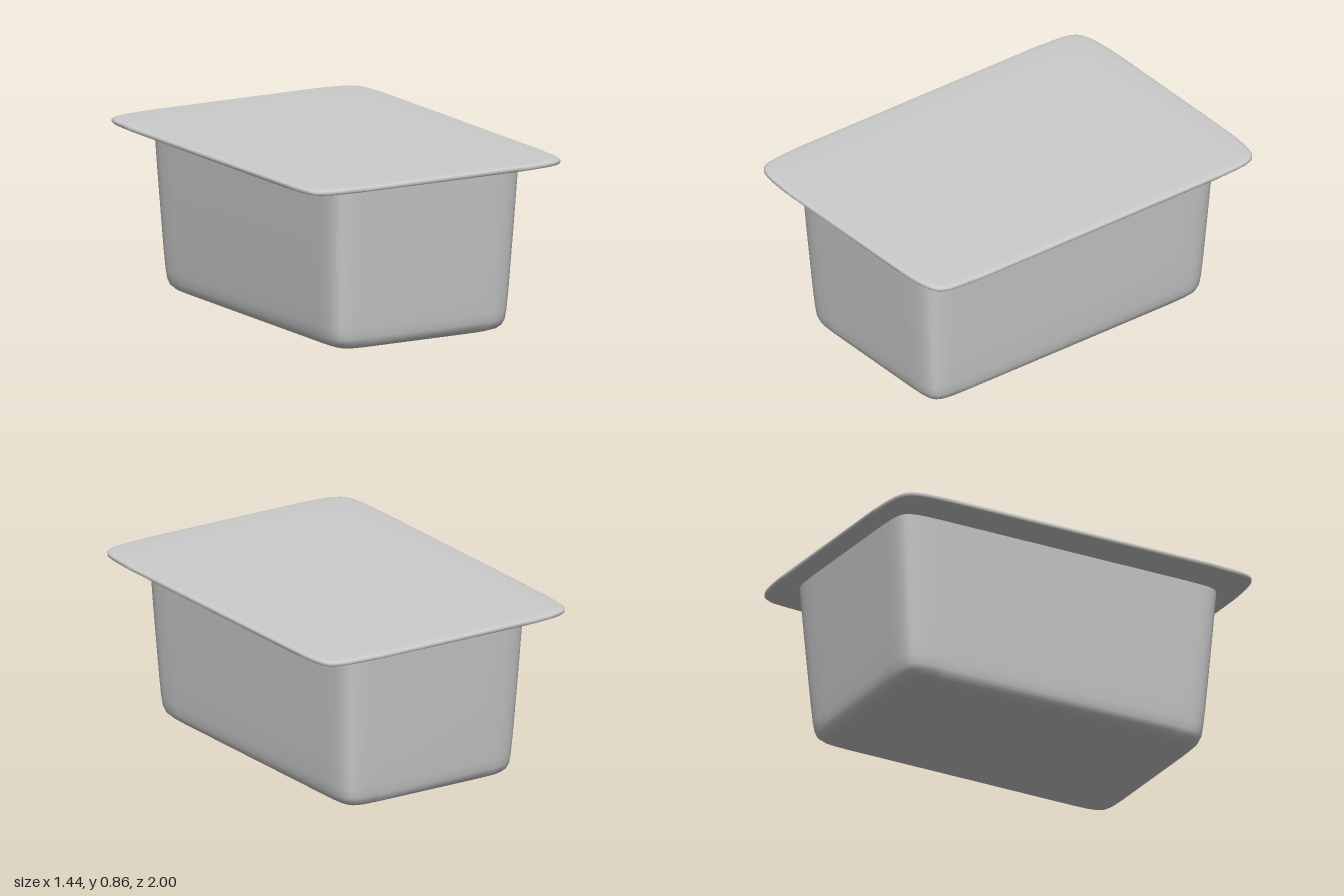
import * as THREE from 'three';

// Closed soft-cornered outline in xz, as fractions of the half sizes.
// inset lists [dx, dz] distances from the sharp corner.
function unitOutline(hx, hz, inset) {
  const curve = new THREE.CatmullRomCurve3(
    inset.map(([dx, dz]) => new THREE.Vector3(1 - dx / hx, 0, 1 - dz / hz)), false, 'centripetal');
  const corner = curve.getPoints(16);
  const back = [...corner].reverse();
  const place = (list, sx, sz) => list.map(p => [p.x * sx, p.z * sz]);
  return [...place(corner, 1, 1), ...place(back, -1, 1), ...place(corner, -1, -1), ...place(back, 1, -1)];
}

// Skin rings [halfX, halfZ, y] that all share one unit outline.
function loft(unit, rings) {
  const n = unit.length, pos = [], index = [];
  for (const [hx, hz, y] of rings) for (const [u, v] of unit) pos.push(u * hx, y, v * hz);
  for (let r = 0; r < rings.length - 1; r++) {
    for (let i = 0; i < n; i++) {
      const a = r * n + i, b = r * n + (i + 1) % n;
      if (rings[r][0] > 0) index.push(a, a + n, b);
      if (rings[r + 1][0] > 0) index.push(b, a + n, b + n);
    }
  }
  const g = new THREE.BufferGeometry();
  g.setAttribute('position', new THREE.Float32BufferAttribute(pos, 3));
  g.setIndex(index);
  g.computeVertexNormals();
  return g;
}

export function createModel() {
  const group = new THREE.Group();
  const add = (name, geometry, side) => {
    const mesh = new THREE.Mesh(geometry, new THREE.MeshStandardMaterial({ color: 0xcccccc, side }));
    mesh.name = name;
    group.add(mesh);
  };

  // Tapered tub with a softly rounded base, open under the lid
  const tubOutline = unitOutline(0.53, 0.895, [[0, 0.2], [0.008, 0.08], [0.03, 0.03], [0.08, 0.008], [0.2, 0]]);
  add('tub', loft(tubOutline, [
    [0, 0, 0], [0.28, 0.62, 0], [0.38, 0.73, 0.003], [0.43, 0.775, 0.008], [0.46, 0.804, 0.02],
    [0.479, 0.821, 0.038], [0.489, 0.831, 0.065], [0.495, 0.837, 0.11], [0.502, 0.847, 0.22],
    [0.518, 0.873, 0.55], [0.53, 0.895, 0.835],
  ]), THREE.DoubleSide);

  // Flat overhanging lid with a rounded rim
  const lidOutline = unitOutline(0.72, 1, [[0, 0.28], [0.016, 0.09], [0.043, 0.043], [0.1, 0.018], [0.22, 0.003], [0.3, 0]]);
  add('lid', loft(lidOutline, [
    [0, 0, 0.825], [0.68, 0.96, 0.825], [0.705, 0.985, 0.826], [0.715, 0.995, 0.829], [0.72, 1, 0.835],
    [0.72, 1, 0.846], [0.715, 0.995, 0.851], [0.705, 0.985, 0.854], [0.67, 0.95, 0.856],
    [0.55, 0.83, 0.857], [0, 0, 0.857],
  ]), THREE.FrontSide);

  return group;
}
